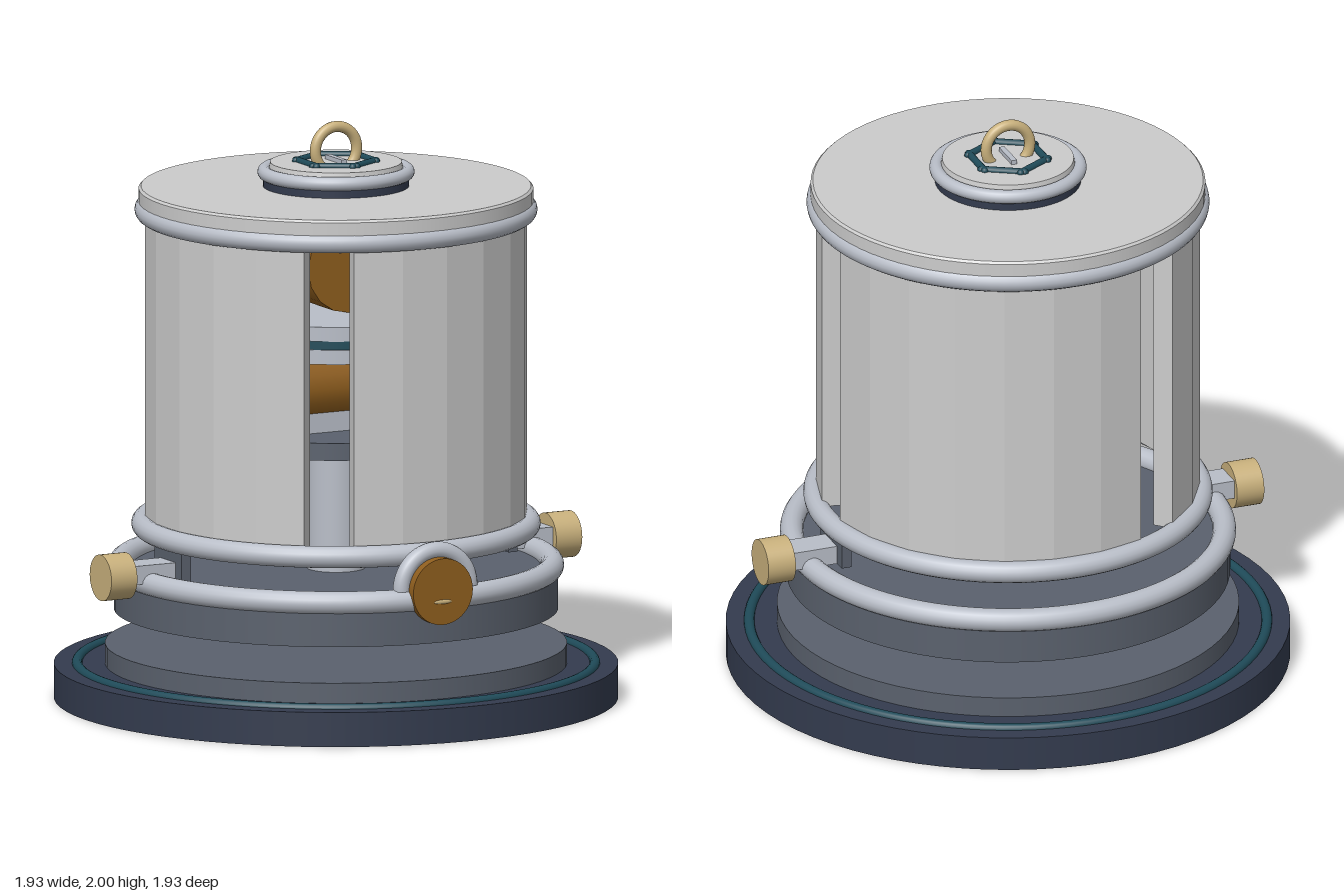
import * as THREE from 'three';

const paint = (color) => new THREE.MeshStandardMaterial({ color });
const shellGrey = paint(0xcccccc), silver = paint(0xb9bec8), slate = paint(0x5a616d);
const navy = paint(0x333b4e), teal = paint(0x1f4b59), gold = paint(0xc8b07c), bronze = paint(0x8f5e1e);

export function createModel() {
  const model = new THREE.Group();

  const add = (name, geometry, material, x = 0, y = 0, z = 0) => {
    const mesh = new THREE.Mesh(geometry, material);
    mesh.name = name;
    mesh.position.set(x, y, z);
    model.add(mesh);
    return mesh;
  };
  // Upright disc between two heights
  const disc = (name, r, y0, y1, material, rTop = r) =>
    add(name, new THREE.CylinderGeometry(rTop, r, y1 - y0, 72), material, 0, (y0 + y1) / 2);
  // Horizontal ring
  const hoop = (name, r, tube, y, material) => {
    const ring = add(name, new THREE.TorusGeometry(r, tube, 16, 96), material, 0, y);
    ring.rotation.x = Math.PI / 2;
    return ring;
  };
  // Round bar between two points
  const bar = (name, a, b, r, material) => {
    const dir = b.clone().sub(a);
    const mesh = add(name, new THREE.CylinderGeometry(r, r, dir.length(), 16), material);
    mesh.position.copy(a).add(b).multiplyScalar(0.5);
    mesh.quaternion.setFromUnitVectors(new THREE.Vector3(0, 1, 0), dir.normalize());
    return mesh;
  };
  const polar = (r, angle, y) => new THREE.Vector3(r * Math.cos(angle), y, r * Math.sin(angle));

  // Floating base layers
  disc('basePlate', 0.965, 0, 0.12, navy);
  hoop('baseInlay', 0.885, 0.018, 0.119, teal);
  disc('baseStep', 0.79, 0.12, 0.19, slate);
  disc('lowerBand', 0.76, 0.31, 0.45, slate);
  hoop('lowerRing', 0.74, 0.04, 0.46, silver);
  hoop('shellBottomRing', 0.662, 0.038, 0.605, silver);

  // Flat staves, with a slot every third of a turn
  for (let i = 0; i < 24; i++) {
    if (i % 8 === 0) continue;
    const angle = (i * Math.PI) / 12;
    const stave = add('shellPanel', new THREE.BoxGeometry(0.07, 1.05, 0.171), shellGrey);
    stave.position.copy(polar(0.615, angle, 1.145));
    stave.rotation.y = -angle;
  }

  // Lid and cap
  hoop('shellTopRing', 0.653, 0.036, 1.695, silver);
  disc('lidRim', 0.675, 1.67, 1.768, shellGrey);
  disc('lidBevel', 0.675, 1.768, 1.776, shellGrey, 0.667);
  disc('capCollar', 0.25, 1.776, 1.81, navy);
  hoop('capRing', 0.245, 0.024, 1.825, silver);
  disc('capDisc', 0.235, 1.81, 1.86, shellGrey, 0.225);

  // Hexagon of overlapping bars around the lifting ring
  for (let i = 0; i < 6; i++) {
    const angle = (i * Math.PI) / 3;
    const rod = add('hexBar', new THREE.CapsuleGeometry(0.013, 0.15, 6, 12), teal);
    rod.position.copy(polar(0.115, angle, 1.862));
    rod.rotation.set(Math.PI / 2, 0, angle);
  }
  add('liftingRing', new THREE.TorusGeometry(0.08, 0.019, 16, 48), gold, 0, 1.901, 0);
  add('ringSaddle', new THREE.BoxGeometry(0.02, 0.02, 0.12), silver, 0, 1.865, 0);

  // Side knobs on arms
  for (const side of [-1, 1]) {
    add('knobArm', new THREE.BoxGeometry(0.2, 0.065, 0.11), silver, side * 0.72, 0.497);
    add('armBracket', new THREE.BoxGeometry(0.035, 0.1, 0.2), slate, side * 0.632, 0.515);
    const knob = add('sideKnob', new THREE.CylinderGeometry(0.08, 0.08, 0.1, 40), gold, side * 0.86, 0.49);
    knob.rotation.z = Math.PI / 2;
  }

  // Front medallion under an arch
  const dial = add('frontMedallion', new THREE.CylinderGeometry(0.115, 0.115, 0.05, 48), bronze, 0, 0.49, 0.758);
  dial.rotation.x = Math.PI / 2;
  add('medallionArch', new THREE.TorusGeometry(0.13, 0.03, 16, 40, Math.PI), silver, 0, 0.495, 0.725);
  const slit = add('medallionSlit', new THREE.SphereGeometry(0.035, 24, 12), gold, 0, 0.455, 0.782);
  slit.scale.set(1, 0.22, 0.15);

  // Inner mechanism: column, struts and stacked discs
  disc('centralColumn', 0.1, 0.45, 0.88, silver);
  disc('columnPlate', 0.335, 0.88, 0.94, slate);
  for (const turn of [1, 3, 5]) {
    const angle = (turn * Math.PI) / 3;
    bar('columnStrut', polar(0.38, angle, 0.58), polar(0.12, angle, 0.87), 0.022, teal);
  }
  add('drumCradle', new THREE.BoxGeometry(0.4, 0.1, 0.18), silver, 0.05, 0.99);
  bar('horizontalDrum', new THREE.Vector3(-0.38, 1.095, 0), new THREE.Vector3(0.32, 1.095, 0), 0.125, bronze);
  bar('drumCap', new THREE.Vector3(0.32, 1.095, 0), new THREE.Vector3(0.35, 1.095, 0), 0.12, silver);
  disc('stageLower', 0.37, 1.22, 1.27, silver);
  disc('stageInlay', 0.365, 1.27, 1.3, teal);
  disc('stageUpper', 0.37, 1.3, 1.35, silver);

  // Wheel above the stage with a slim oval ring
  bar('upperWheel', new THREE.Vector3(0, 1.51, -0.1), new THREE.Vector3(0, 1.51, 0.1), 0.16, bronze);
  const halo = add('wheelRing', new THREE.TorusGeometry(0.3, 0.012, 12, 64), silver, 0, 1.52, 0);
  halo.scale.y = 0.82;

  return model;
}
